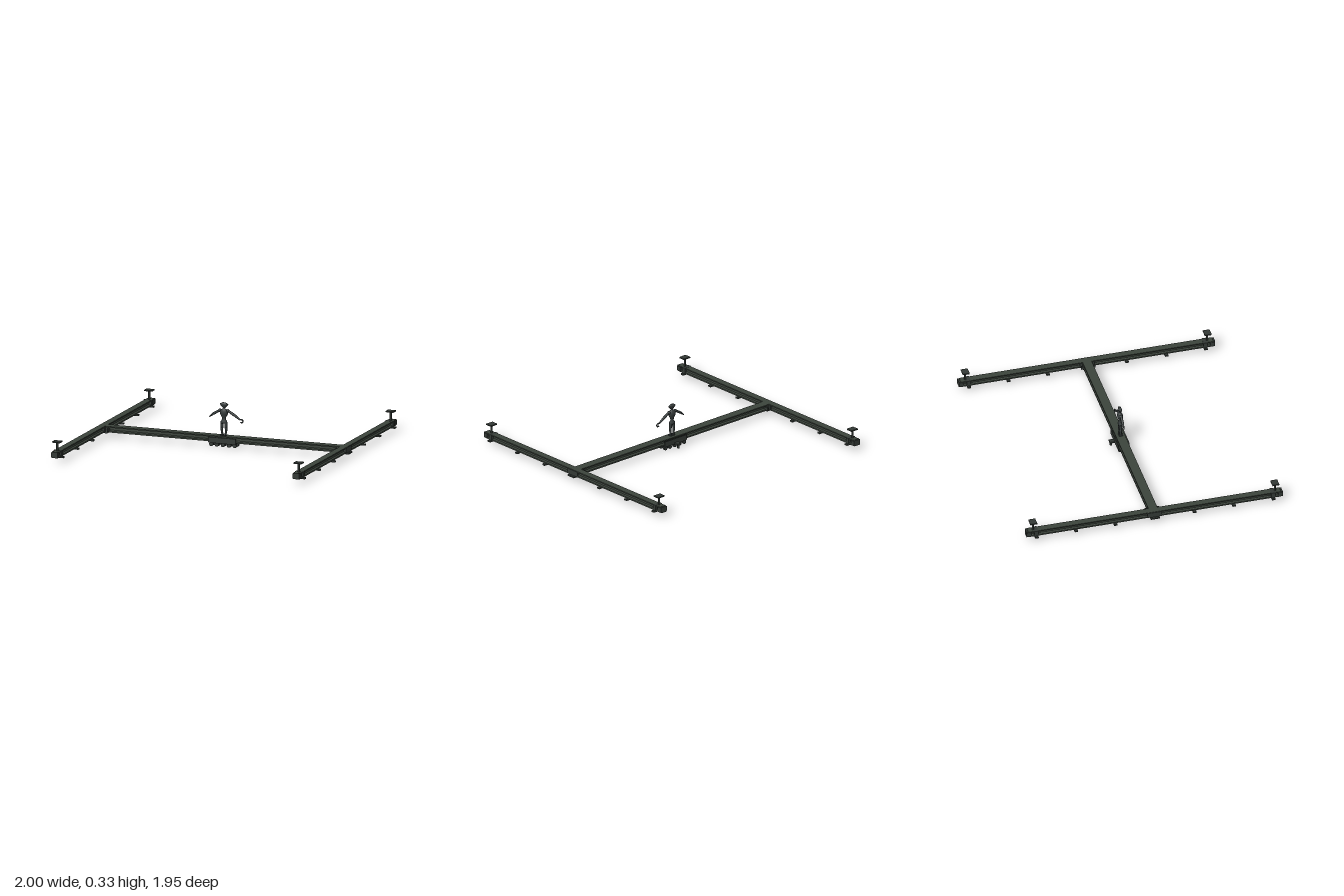
import * as THREE from 'three';

const beamPaint = new THREE.MeshStandardMaterial({ color: 0x3c443c });
const darkSteel = new THREE.MeshStandardMaterial({ color: 0x343a36 });
const figureMetal = new THREE.MeshStandardMaterial({ color: 0x363c3c });
beamPaint.name = 'beamPaint';
darkSteel.name = 'darkSteel';
figureMetal.name = 'figureMetal';

function add(parent, name, geometry, material, x, y, z) {
  const mesh = new THREE.Mesh(geometry, material);
  mesh.name = name;
  mesh.position.set(x, y, z);
  parent.add(mesh);
  return mesh;
}

const box = (parent, name, w, h, d, x, y, z, material = darkSteel) =>
  add(parent, name, new THREE.BoxGeometry(w, h, d), material, x, y, z);

// Tapered limb between two points
function limb(parent, name, a, b, ra, rb) {
  const start = new THREE.Vector3(...a), end = new THREE.Vector3(...b);
  const dir = end.clone().sub(start);
  const mid = start.clone().add(end).multiplyScalar(0.5);
  const mesh = add(parent, name, new THREE.CylinderGeometry(rb, ra, dir.length(), 10), figureMetal, mid.x, mid.y, mid.z);
  mesh.quaternion.setFromUnitVectors(new THREE.Vector3(0, 1, 0), dir.normalize());
  return mesh;
}

function ball(parent, name, r, x, y, z, sy = 1, sz = 1) {
  const mesh = add(parent, name, new THREE.SphereGeometry(r, 12, 8), figureMetal, x, y, z);
  mesh.scale.set(1, sy, sz);
  return mesh;
}

// I-section beam running along z, extruded from half a profile mirrored in x
function beam(name, width, length) {
  const w = width / 2, web = w * 0.5;
  const half = [[w, 0.038], [w, 0.049], [web, 0.054], [web, 0.07], [w, 0.074], [w, 0.083]];
  const outline = [...half, ...half.map(([x, y]) => [-x, y]).reverse()];
  const shape = new THREE.Shape(outline.map(p => new THREE.Vector2(...p)));
  const geometry = new THREE.ExtrudeGeometry(shape, { depth: length, bevelEnabled: false });
  geometry.translate(0, 0, -length / 2);
  const mesh = new THREE.Mesh(geometry, beamPaint);
  mesh.name = name;
  return mesh;
}

// Long side rail with end stops, clamps and raised end plates
function makeRail(side) {
  const rail = new THREE.Group();
  rail.name = side > 0 ? 'leftRail' : 'rightRail';
  rail.position.x = side * 0.953;
  rail.add(beam('railBeam', 0.053, 1.92));
  for (const s of [-1, 1]) {
    box(rail, 'endStop', 0.06, 0.034, 0.035, 0, 0.06, s * 0.955);
    box(rail, 'endCap', 0.05, 0.044, 0.012, 0, 0.06, s * 0.968);
    box(rail, 'endCollar', 0.064, 0.045, 0.03, 0, 0.061, s * 0.9);
    // post and table plate
    add(rail, 'post', new THREE.CylinderGeometry(0.008, 0.008, 0.07, 10), darkSteel, 0, 0.117, s * 0.92);
    box(rail, 'postPlate', 0.062, 0.009, 0.052, 0, 0.151, s * 0.92);
    for (const z of [0.3, 0.6, 0.9]) {
      box(rail, 'clampPlate', 0.092, 0.011, 0.026, 0, 0.034, s * z);
    }
  }
  // joint to the crossbeam
  box(rail, 'jointBlock', 0.062, 0.04, 0.11, 0, 0.06, 0);
  box(rail, 'jointPlate', 0.092, 0.01, 0.07, 0, 0.035, 0);
  box(rail, 'jointRoller', 0.03, 0.032, 0.075, -side * 0.035, 0.06, 0);
  box(rail, 'jointPin', 0.01, 0.022, 0.108, -side * 0.055, 0.055, 0);
  return rail;
}

// Trolley clamped around the crossbeam, with wheels below
function makeTrolley() {
  const trolley = new THREE.Group();
  trolley.name = 'trolley';
  for (const s of [-1, 1]) {
    box(trolley, 'sidePlate', 0.215, 0.04, 0.008, 0, 0.053, s * 0.041);
  }
  box(trolley, 'basePlate', 0.21, 0.008, 0.09, 0, 0.034, 0);
  box(trolley, 'rearBracket', 0.036, 0.012, 0.04, 0, 0.036, -0.062);
  add(trolley, 'rearFoot', new THREE.CylinderGeometry(0.009, 0.009, 0.028, 10), darkSteel, 0, 0.018, -0.07);
  for (const x of [-0.092, -0.048, 0, 0.048, 0.092]) {
    for (const z of [-0.028, 0.017]) {
      const wheel = add(trolley, 'wheel', new THREE.CylinderGeometry(0.016, 0.016, 0.016, 14), darkSteel, x, 0.016, z);
      wheel.rotation.x = Math.PI / 2;
    }
  }
  return trolley;
}

// Small standing figure with outstretched arms
function makeFigure() {
  const figure = new THREE.Group();
  figure.name = 'figure';
  for (const s of [-1, 1]) {
    limb(figure, 'shin', [s * 0.012, 0.08, 0], [s * 0.017, 0.132, 0], 0.006, 0.01);
    ball(figure, 'knee', 0.01, s * 0.017, 0.134, 0);
    limb(figure, 'thigh', [s * 0.016, 0.134, 0], [s * 0.015, 0.185, 0], 0.009, 0.013);
    box(figure, 'foot', 0.016, 0.01, 0.03, s * 0.013, 0.086, 0.004, figureMetal);
    ball(figure, 'shoulder', 0.013, s * 0.031, 0.27, 0);
    limb(figure, 'upperArm', [s * 0.03, 0.273, 0], [s * 0.078, 0.244, 0], 0.009, 0.01);
  }
  limb(figure, 'rightForearm', [-0.076, 0.246, 0], [-0.115, 0.216, 0], 0.01, 0.003);
  limb(figure, 'leftForearm', [0.076, 0.246, 0], [0.128, 0.211, 0], 0.01, 0.006);
  // curled hook hand
  const hook = add(figure, 'hookHand', new THREE.TorusGeometry(0.012, 0.005, 6, 14, Math.PI * 1.5), figureMetal, 0.138, 0.202, 0);
  hook.rotation.z = -Math.PI * 0.75;
  // body from hips to neck, flattened front to back
  const profile = [[0.001, 0.172], [0.024, 0.176], [0.025, 0.19], [0.014, 0.205], [0.016, 0.22],
    [0.03, 0.245], [0.033, 0.265], [0.022, 0.28], [0.008, 0.286], [0.007, 0.295], [0.001, 0.296]];
  const torso = add(figure, 'torso', new THREE.LatheGeometry(profile.map(p => new THREE.Vector2(...p)), 14), figureMetal, 0, 0, 0);
  torso.scale.z = 0.65;
  // broad wedge-shaped head
  const headProfile = [[0.001, 0.285], [0.01, 0.291], [0.034, 0.317], [0.03, 0.323], [0.012, 0.332], [0.001, 0.333]];
  const head = add(figure, 'head', new THREE.LatheGeometry(headProfile.map(p => new THREE.Vector2(...p)), 12), figureMetal, 0, 0, 0);
  head.scale.z = 0.4;
  return figure;
}

export function createModel() {
  const model = new THREE.Group();
  model.name = 'gantryFrame';
  const crossbeam = beam('crossbeam', 0.068, 1.88);
  crossbeam.rotation.y = Math.PI / 2;
  model.add(crossbeam, makeRail(-1), makeRail(1), makeTrolley(), makeFigure());
  return model;
}
